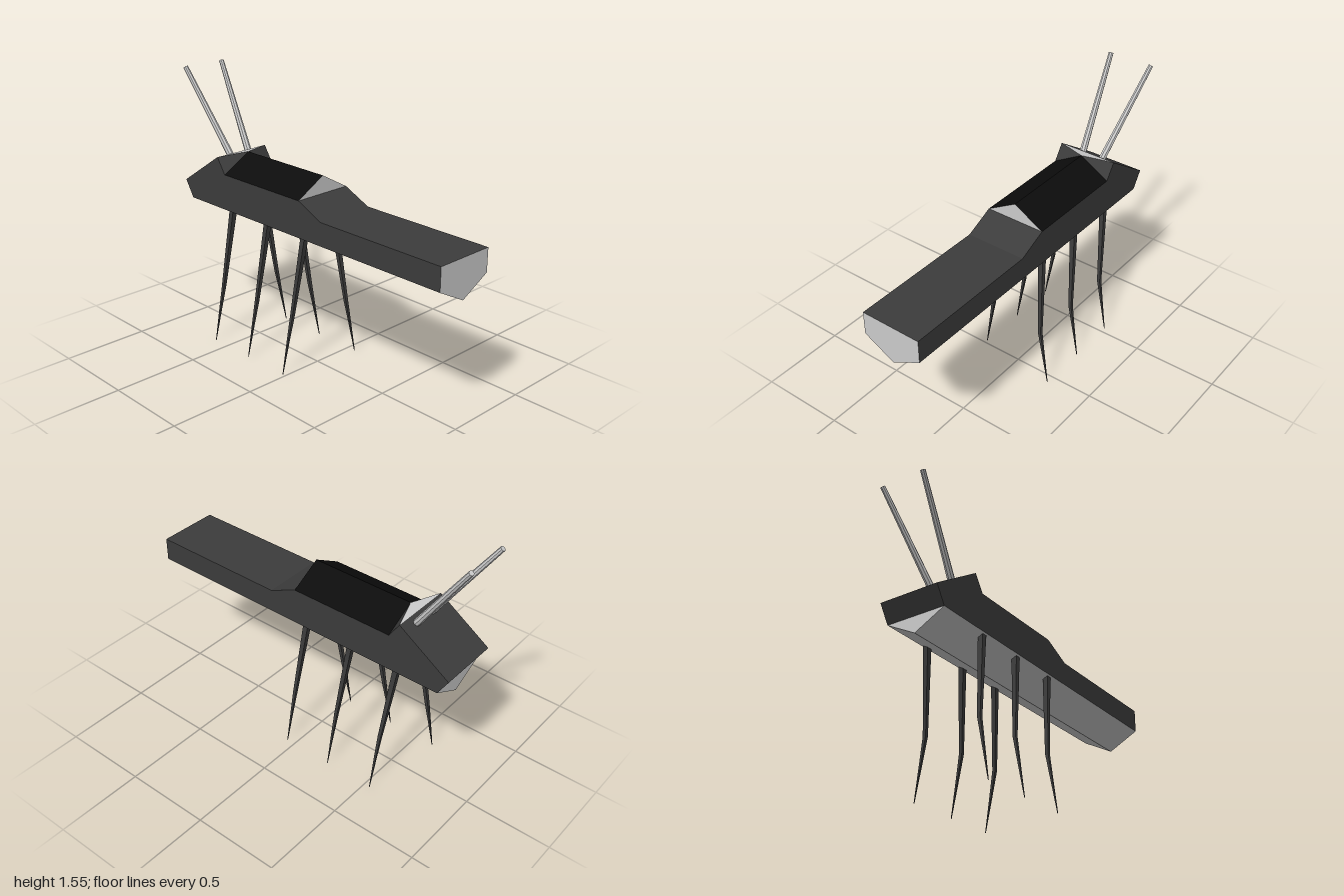
import * as THREE from 'three';

const material = (color) => new THREE.MeshStandardMaterial({ color, flatShading: true, side: THREE.DoubleSide });
const grey = material(0xcccccc);
const dark = material(0x3c3c3c);
const black = material(0x0c0c0c);

const HALF = 0.175; // half width of the hull
const MID = -0.005; // z of the hull's centre line

// Flat panels from convex corner loops, each corner [x, y, side] with side -1, 0 or 1
function panels(name, mat, loops) {
  const points = [];
  for (const loop of loops) {
    const v = loop.map(([x, y, s]) => [x, y, MID + s * HALF]);
    for (let i = 1; i < v.length - 1; i++) points.push(...v[0], ...v[i], ...v[i + 1]);
  }
  const geometry = new THREE.BufferGeometry();
  geometry.setAttribute('position', new THREE.Float32BufferAttribute(points, 3));
  geometry.computeVertexNormals();
  const mesh = new THREE.Mesh(geometry, mat);
  mesh.name = name;
  return mesh;
}

// Panel across the full hull width between two profile points
const across = ([x1, y1], [x2, y2]) => [[x1, y1, 1], [x2, y2, 1], [x2, y2, -1], [x1, y1, -1]];

// Straight tapered tube between two points
function barrel(from, to) {
  const a = new THREE.Vector3(...from), b = new THREE.Vector3(...to);
  const mesh = new THREE.Mesh(new THREE.CylinderGeometry(0.014, 0.02, a.distanceTo(b), 8), grey);
  mesh.position.copy(a).lerp(b, 0.5);
  mesh.quaternion.setFromUnitVectors(new THREE.Vector3(0, 1, 0), b.sub(a).normalize());
  mesh.name = 'horn';
  return mesh;
}

// Jointed leg: a square column whose rings follow hip, knee, shin and foot
function leg(x, side) {
  const rings = [ // x offset, y, z, half thickness
    [0.035, 0.8, 0.145, 0.015],
    [-0.024, 0.33, 0.183, 0.009],
    [-0.029, 0.2, 0.208, 0.006],
    [-0.035, 0, 0.246, 0.0015],
  ];
  const geometry = new THREE.CylinderGeometry(Math.SQRT2, Math.SQRT2, 3, 4, 3);
  geometry.rotateY(Math.PI / 4);
  const p = geometry.attributes.position;
  for (let i = 0; i < p.count; i++) {
    const [dx, y, z, r] = rings[Math.round(1.5 - p.getY(i))];
    p.setXYZ(i, x + side * dx + p.getX(i) * r, y, side * z + p.getZ(i) * r);
  }
  geometry.computeVertexNormals();
  const mesh = new THREE.Mesh(geometry, dark);
  mesh.name = side > 0 ? 'frontLeg' : 'backLeg';
  return mesh;
}

export function createModel() {
  const model = new THREE.Group();
  model.name = 'walker';

  // Side profile points of the hull
  const chin = [-0.87, 0.803], nose = [-0.93, 0.9], brow = [-0.63, 1.1], neck = [-0.57, 1.01];
  const roofEnd = [0.035, 1.01], deck = [0.2, 0.935], tail = [1, 0.935], tailLow = [1, 0.803];
  const ridgeA = [-0.57, 1.11, 0], ridgeB = [0.035, 1.11, 0];
  const keelA = [-0.87, 0.71, 0], keelB = [1, 0.71, 0];

  // Dark shell: sides, valley behind the brow, head, nose and deck
  const shell = [across(chin, nose), across(nose, brow), across(roofEnd, deck), across(deck, tail)];
  for (const s of [1, -1]) {
    const at = (p) => [...p, s];
    shell.push([chin, neck, brow, nose].map(at));
    shell.push([chin, tailLow, deck, roofEnd, neck].map(at));
    shell.push([tailLow, tail, deck].map(at));
    shell.push([at(brow), at(neck), ridgeA]);
  }
  model.add(panels('hullShell', dark, shell));

  // Black pitched roof
  model.add(panels('roof', black, [1, -1].map((s) => [[...neck, s], [...roofEnd, s], ridgeB, ridgeA])));

  // Grey gable and brow triangle
  model.add(panels('roofGable', grey, [[[...roofEnd, 1], [...roofEnd, -1], ridgeB]]));
  model.add(panels('browPlate', grey, [[[...brow, 1], ridgeA, [...brow, -1]]]));

  // Grey keel and end plates
  model.add(panels('keel', grey, [
    ...[1, -1].map((s) => [[...chin, s], keelA, keelB, [...tailLow, s]]),
    [[...chin, 1], [...chin, -1], keelA],
  ]));
  model.add(panels('endPlate', grey, [
    [[...tail, 1], [...tailLow, 1], keelB, [...tailLow, -1], [...tail, -1]],
  ]));

  // Horns on the head
  model.add(barrel([-0.66, 1.07, 0.045], [-0.985, 1.543, 0.097]));
  model.add(barrel([-0.66, 1.07, -0.082], [-0.985, 1.543, -0.163]));

  // Three pairs of legs
  for (const x of [-0.57, -0.277, 0.016]) {
    for (const side of [1, -1]) model.add(leg(x, side));
  }
  return model;
}
